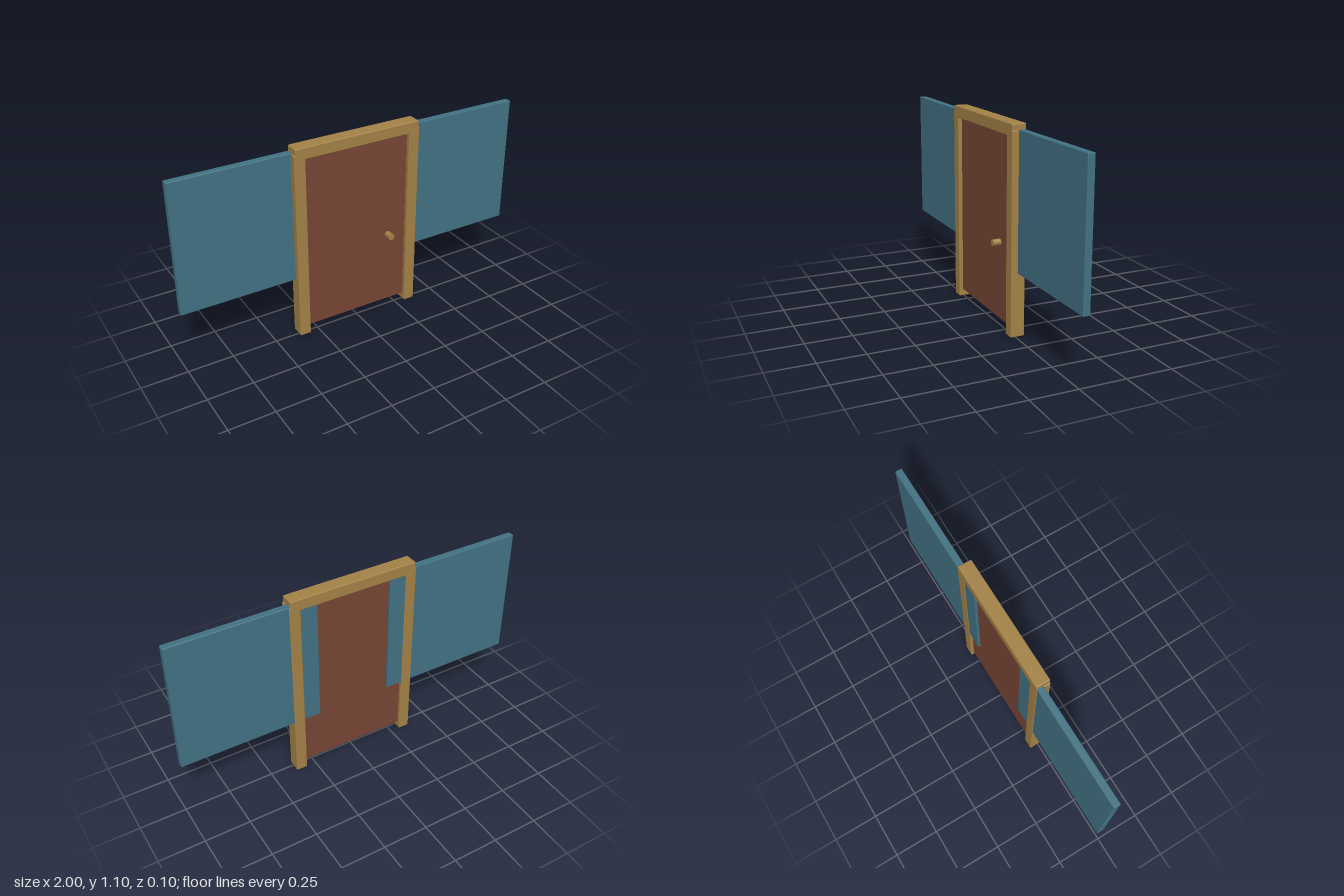
import * as THREE from 'three';
import { RoundedBoxGeometry } from 'three/addons/geometries/RoundedBoxGeometry.js';

const material = (name, color) => {
  const m = new THREE.MeshStandardMaterial({ color });
  m.name = name;
  return m;
};

// Softly bevelled block given by its minimum and maximum on each axis
function block(name, mat, [x0, x1], [y0, y1], [z0, z1], bevel = 0.006) {
  const geometry = new RoundedBoxGeometry(x1 - x0, y1 - y0, z1 - z0, 2, bevel);
  const mesh = new THREE.Mesh(geometry, mat);
  mesh.name = name;
  mesh.position.set((x0 + x1) / 2, (y0 + y1) / 2, (z0 + z1) / 2);
  return mesh;
}

export function createModel() {
  const group = new THREE.Group();
  group.name = 'doorway';
  const wood = material('tan wood', 0xa38146);
  const brown = material('reddish brown', 0x774535);
  const blue = material('slate blue', 0x417182);

  // Posts and wall panels, mirrored left and right
  const depth = [-0.049, 0.028];
  for (const [side, s] of [['left', 1], ['right', -1]]) {
    const span = (a, b) => (s > 0 ? [a, b] : [-b, -a]);
    group.add(block(side + 'Post', wood, span(0.303, 0.366), [0, 1.064], depth));
    group.add(block(side + 'WallPanel', blue, span(0.21, 1), [0.341, 1.067], [-0.046, -0.008], 0.004));
  }

  // Header beam across the posts
  group.add(block('header', wood, [-0.36, 0.36], [1.033, 1.098], depth));

  // Door leaf, recessed in the frame and clear of the floor
  group.add(block('door', brown, [-0.303, 0.303], [0.04, 1.034], [-0.033, 0.008], 0.004));

  // Door knob on the front
  const knobGeometry = new THREE.CylinderGeometry(0.018, 0.018, 0.05, 8);
  knobGeometry.rotateX(Math.PI / 2);
  const knob = new THREE.Mesh(knobGeometry, wood);
  knob.name = 'knob';
  knob.position.set(0.192, 0.462, 0.027);
  group.add(knob);

  return group;
}
